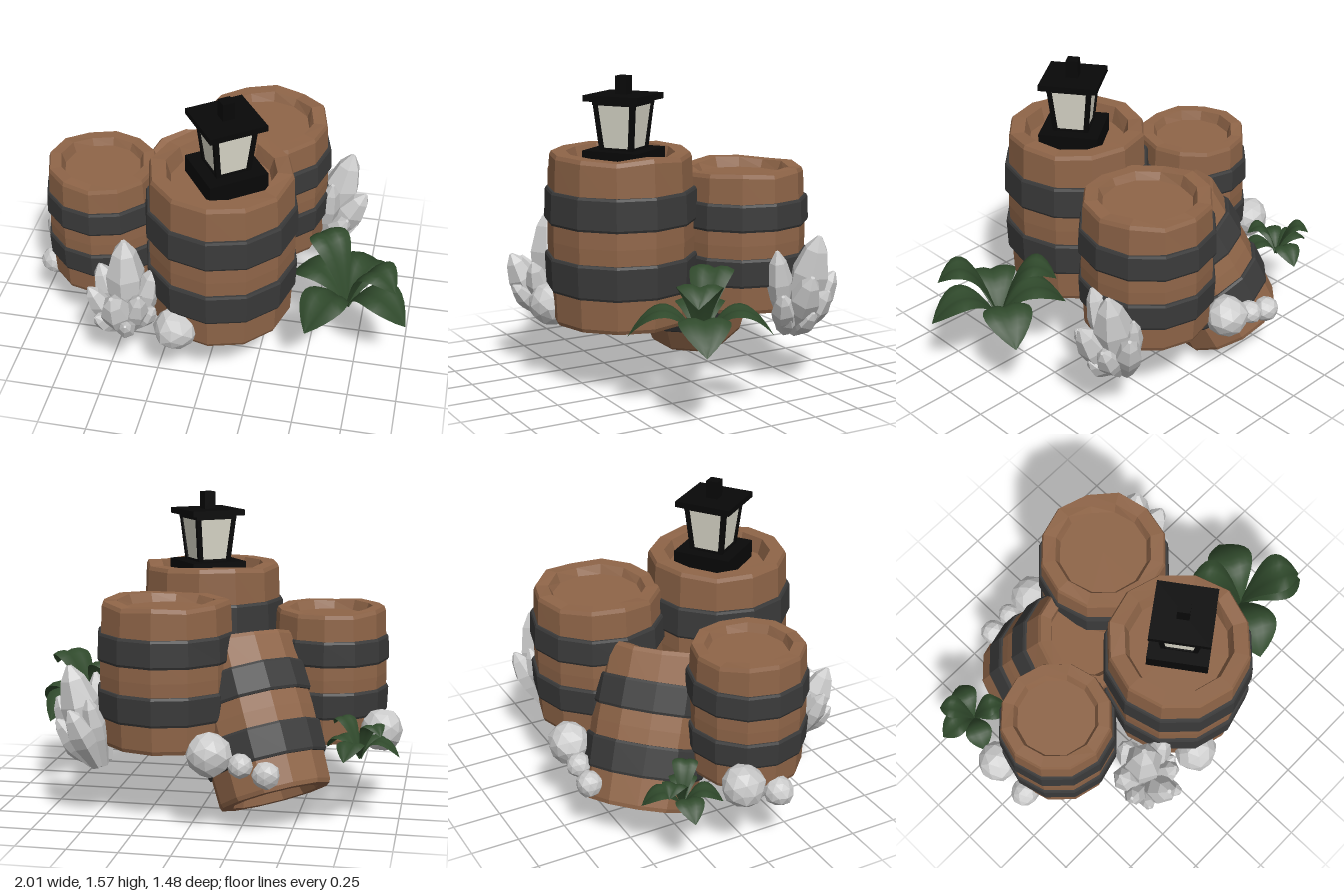
import * as THREE from 'three';

const mat = (color, flat = true) => new THREE.MeshStandardMaterial({ color, flatShading: flat, side: THREE.DoubleSide });
const wood = mat(0x8f6548), iron = mat(0x3a3a3a), black = mat(0x080808);
const glass = mat(0xdedccd), stone = mat(0xcccccc), leafGreen = mat(0x304a2c, false);
const V2 = (x, y) => new THREE.Vector2(x, y);
const V3 = (x, y, z) => new THREE.Vector3(x, y, z);
const UP = V3(0, 1, 0);
const SIDES = 12;

// repeatable noise in -1..1
const noise = (n) => {
  const s = Math.sin(n * 127.1 + 11.7) * 43758.5453;
  return 2 * (s - Math.floor(s)) - 1;
};

function add(parent, name, geometry, material) {
  const mesh = new THREE.Mesh(geometry, material);
  mesh.name = name;
  parent.add(mesh);
  return mesh;
}

// Staved barrel with recessed ends and two iron hoops; R is the hoop radius
function barrel(name, R, h, seed, recess = 0.045) {
  const g = new THREE.Group();
  g.name = name;
  const body = new THREE.LatheGeometry([
    V2(0, recess), V2(0.65 * R, recess), V2(0.71 * R, 0), V2(0.9 * R, 0), V2(0.925 * R, 0.02),
    V2(0.95 * R, h * 0.3), V2(0.965 * R, h * 0.5), V2(0.95 * R, h * 0.7),
    V2(0.925 * R, h - 0.02), V2(0.9 * R, h), V2(0.71 * R, h), V2(0.65 * R, h - recess), V2(0, h - recess),
  ], SIDES);
  // uneven stave ends
  const p = body.attributes.position;
  for (let i = 0; i < p.count; i++) {
    const r = Math.hypot(p.getX(i), p.getZ(i));
    const k = (Math.round(Math.atan2(p.getX(i), p.getZ(i)) / (2 * Math.PI / SIDES)) + SIDES) % SIDES;
    const n = noise(k + seed);
    if (r > 0.7 * R && p.getY(i) > h * 0.95) p.setY(i, p.getY(i) + 0.01 * n);
    if (r > 0.6 * R) {
      const f = 1 + 0.008 * n;
      p.setX(i, p.getX(i) * f);
      p.setZ(i, p.getZ(i) * f);
    }
  }
  add(g, 'barrelBody', body, wood);
  for (const [a, b, ra, rb] of [[0.2, 0.405, 0.99, 1.005], [0.6, 0.795, 1.005, 0.99]]) {
    add(g, 'hoop', new THREE.LatheGeometry([
      V2(0.92 * R, a * h), V2(ra * R - 0.006, a * h), V2(ra * R, a * h + 0.012),
      V2(rb * R, b * h - 0.012), V2(rb * R - 0.006, b * h), V2(0.92 * R, b * h),
    ], SIDES), iron);
  }
  return g;
}

// Four-sided tapered lantern standing on y = 0
function lantern() {
  const g = new THREE.Group();
  g.name = 'lantern';
  const box = (name, w, y0, y1) =>
    add(g, name, new THREE.BoxGeometry(w, y1 - y0, w), black).position.y = (y0 + y1) / 2;
  box('lanternBase', 0.305, 0, 0.098);
  box('lanternSill', 0.18, 0.098, 0.108);
  box('lanternHeader', 0.228, 0.32, 0.34);
  box('lanternRoof', 0.296, 0.34, 0.37);
  box('lanternKnob', 0.062, 0.37, 0.46);
  const panes = new THREE.CylinderGeometry(0.106 * Math.SQRT2, 0.08 * Math.SQRT2, 0.24, 4).rotateY(Math.PI / 4);
  add(g, 'lanternGlass', panes, glass).position.y = 0.21;
  for (const sx of [-1, 1]) for (const sz of [-1, 1]) {
    const a = V3(sx * 0.078, 0.09, sz * 0.078), d = V3(sx * 0.102, 0.34, sz * 0.102).sub(a);
    const post = add(g, 'lanternPost', new THREE.BoxGeometry(0.024, d.length(), 0.024), black);
    post.position.copy(a).addScaledVector(d, 0.5);
    post.quaternion.setFromUnitVectors(UP, d.normalize());
  }
  return g;
}

// Cluster of stout pointed crystals; each entry is [tip x, y, z, radius], all growing from one base
function crystals(name, base, list) {
  const g = new THREE.Group();
  g.name = name;
  list.forEach(([x, y, z, r], i) => {
    const tip = V3(x, y, z);
    const foot = base.clone().lerp(V3(x, base.y, z), 0.3);
    const d = tip.sub(foot), L = d.length();
    const geo = new THREE.LatheGeometry([
      V2(0, -0.01), V2(0.5 * r, 0), V2(0.95 * r, 0.42 * L), V2(r, 0.62 * L), V2(0.62 * r, 0.87 * L), V2(0.14 * r, L), V2(0, L),
    ], 6, i * 0.7);
    const c = add(g, 'crystal', geo, stone);
    c.position.copy(foot);
    c.quaternion.setFromUnitVectors(UP, d.normalize());
  });
  return g;
}

// Faceted boulder with slightly uneven corners
function rock(r, seed) {
  const geo = new THREE.IcosahedronGeometry(r, 1), p = geo.attributes.position, v = V3(0, 0, 0);
  for (let i = 0; i < p.count; i++) {
    v.fromBufferAttribute(p, i);
    const key = Math.round(v.x / r * 50) + 3 * Math.round(v.y / r * 50) + 7 * Math.round(v.z / r * 50);
    v.multiplyScalar(1 + 0.05 * noise(key + seed));
    p.setXYZ(i, v.x, v.y, v.z);
  }
  return geo;
}

// Broad arching leaf along +z with a creased midrib
function leaf(reach, peak, end, halfWidth) {
  const geo = new THREE.PlaneGeometry(2, 1, 6, 12), p = geo.attributes.position;
  const curve = new THREE.QuadraticBezierCurve(V2(0, 0), V2(reach * 0.45, peak), V2(reach, end));
  for (let i = 0; i < p.count; i++) {
    const v = p.getX(i), t = p.getY(i) + 0.5, c = curve.getPoint(t);
    const w = halfWidth * (Math.pow(Math.max(0, Math.sin(Math.PI * Math.pow(t, 1.4))), 0.85) + 0.12 * (1 - t));
    const lift = w * (0.6 * Math.abs(v) - 0.6 * v * v);
    p.setXYZ(i, v * w, c.y + lift, c.x);
  }
  geo.computeVertexNormals();
  return geo;
}

// Low leaves at the given angles and taller ones above them
function plant(name, lowAngles, highAngles) {
  const g = new THREE.Group();
  g.name = name;
  for (const a of lowAngles) add(g, 'lowerLeaf', leaf(0.35, 0.32, 0.045, 0.118), leafGreen).rotation.y = a;
  for (const a of highAngles) add(g, 'upperLeaf', leaf(0.3, 0.5, 0.26, 0.105), leafGreen).rotation.y = a;
  return g;
}

export function createModel() {
  const model = new THREE.Group();
  model.name = 'barrelPile';
  const place = (obj, x, y, z) => {
    obj.position.set(x, y, z);
    model.add(obj);
    return obj;
  };

  // barrels
  place(barrel('frontBarrel', 0.385, 0.85, 1, 0.075), 0.05, 0.335, 0.295);
  place(barrel('backBarrel', 0.35, 0.71, 20), 0.163, 0.37, -0.34);
  place(barrel('sideBarrel', 0.303, 0.665, 40), -0.607, 0.337, 0.093);
  place(barrel('leaningBarrel', 0.31, 0.79, 60), -0.4, 0.122, -0.405)
    .quaternion.setFromUnitVectors(UP, V3(0.31, 0.885, 0.345).normalize());

  // lantern on the front barrel
  place(lantern(), 0.073, 1.105, 0.287).rotation.y = 0.62;

  // crystal clusters
  model.add(crystals('frontCrystals', V3(-0.4, 0.29, 0.49), [
    [-0.4, 0.82, 0.5, 0.1], [-0.25, 0.67, 0.5, 0.07], [-0.54, 0.63, 0.47, 0.075],
    [-0.42, 0.61, 0.7, 0.08], [-0.3, 0.58, 0.63, 0.065], [-0.57, 0.56, 0.58, 0.06],
    [-0.35, 0.46, 0.72, 0.05], [-0.4, 0.6, 0.36, 0.075], [-0.24, 0.47, 0.57, 0.05], [-0.52, 0.44, 0.66, 0.05],
  ]));
  model.add(crystals('backCrystals', V3(0.43, 0.27, -0.46), [
    [0.61, 0.77, -0.53, 0.1], [0.53, 0.7, -0.33, 0.07], [0.58, 0.57, -0.645, 0.07],
    [0.7, 0.59, -0.43, 0.08], [0.62, 0.49, -0.31, 0.065], [0.67, 0.5, -0.55, 0.065],
    [0.5, 0.62, -0.59, 0.06], [0.67, 0.4, -0.46, 0.06], [0.6, 0.39, -0.36, 0.05],
  ]));

  // boulders
  [
    [-0.12, 0.4, 0.61, 0.112], [-0.893, 0.41, -0.09, 0.108], [-0.9, 0.32, 0.11, 0.075],
    [-0.11, 0.385, -0.645, 0.11], [-0.265, 0.345, -0.665, 0.062], [-0.39, 0.305, -0.665, 0.068],
  ].forEach(([x, y, z, r], i) => add(model, 'boulder', rock(r, i * 9), stone).position.set(x, y, z));

  // leafy plants
  place(plant('largePlant', [-2.07, 2.69, 1.12, -0.53], [-2.4, 1.0]), 0.69, 0.33, 0.2);
  place(plant('smallPlant', [-1.75, 2.8, 1.05, -0.45], [-2.45, 0.95]), -0.81, 0.33, -0.375).scale.setScalar(0.56);
  return model;
}
